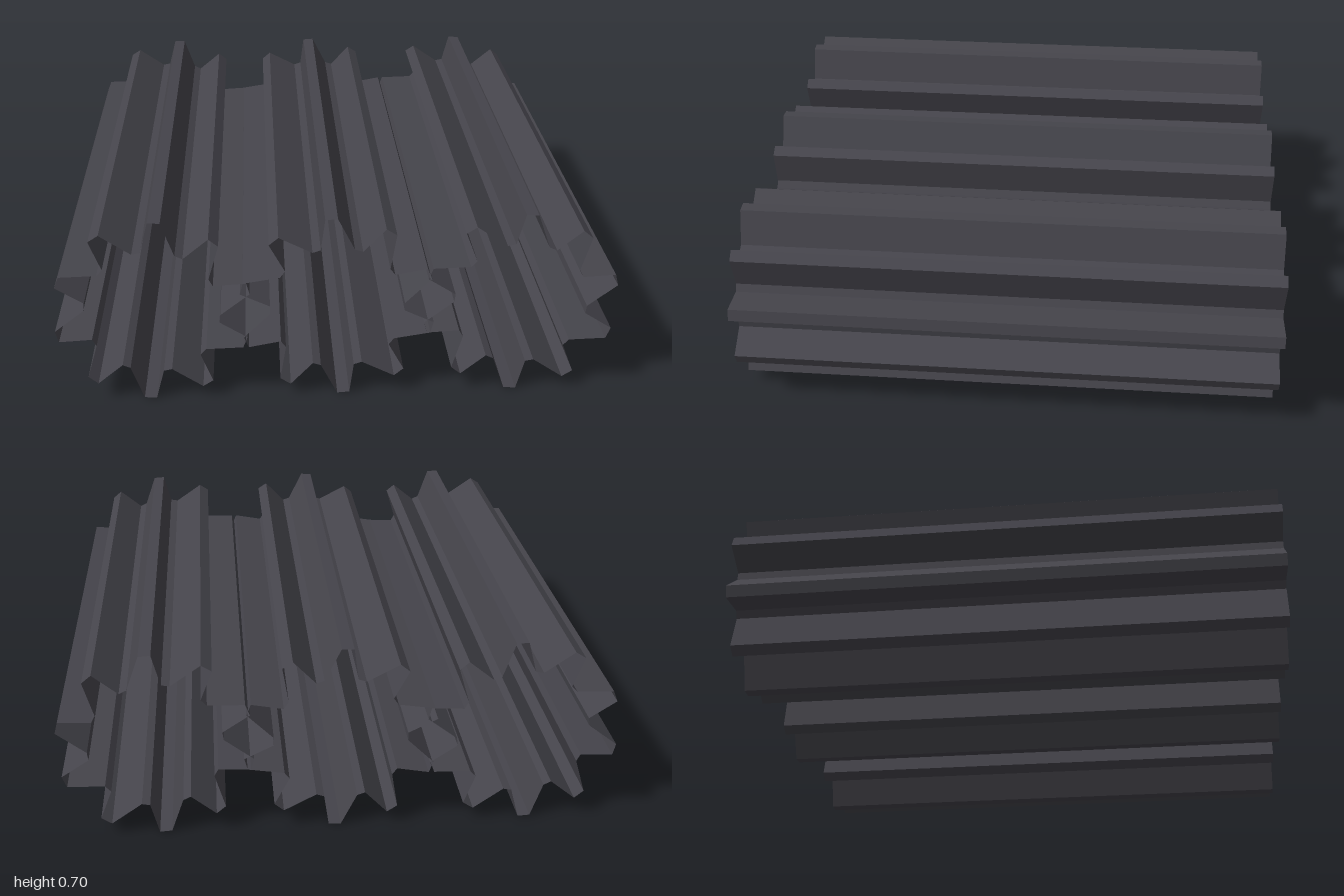
import * as THREE from 'three';

const TEETH = 10, TIP = 0.351, ROOT = 0.24, HALF = 1;
const STEP = 36;
// one tooth: [angle in degrees, radius]; the lower flank is longer than the upper
const TOOTH = [[10.8, TIP], [18, TIP], [25.2, ROOT], [32.4, ROOT]];

// open-ended toothed tube running along z
function gearGeometry(turn) {
  const ring = [];
  for (let k = 0; k < TEETH; k++) {
    for (const [deg, r] of TOOTH) {
      const a = THREE.MathUtils.degToRad(deg + turn + k * STEP);
      ring.push([r * Math.cos(a), r * Math.sin(a)]);
    }
  }
  const pos = [];
  ring.forEach((p, i) => {
    const q = ring[(i + 1) % ring.length];
    pos.push(...p, -HALF, ...q, -HALF, ...q, HALF);
    pos.push(...p, -HALF, ...q, HALF, ...p, HALF);
  });
  const geo = new THREE.BufferGeometry();
  geo.setAttribute('position', new THREE.Float32BufferAttribute(pos, 3));
  geo.computeVertexNormals();
  return geo;
}

export function createModel() {
  const group = new THREE.Group();
  group.name = 'gearRow';
  const steel = new THREE.MeshStandardMaterial({
    color: 0x45444b, flatShading: true, side: THREE.DoubleSide,
  });
  steel.name = 'darkSteel';

  // three meshing gears side by side, the middle one turned slightly
  const gears = [['rightGear', -0.655, 0], ['middleGear', 0, 7.2], ['leftGear', 0.655, 0]];
  for (const [name, x, turn] of gears) {
    const gear = new THREE.Mesh(gearGeometry(turn), steel);
    gear.name = name;
    gear.position.set(x, TIP, 0);
    group.add(gear);
  }
  return group;
}
